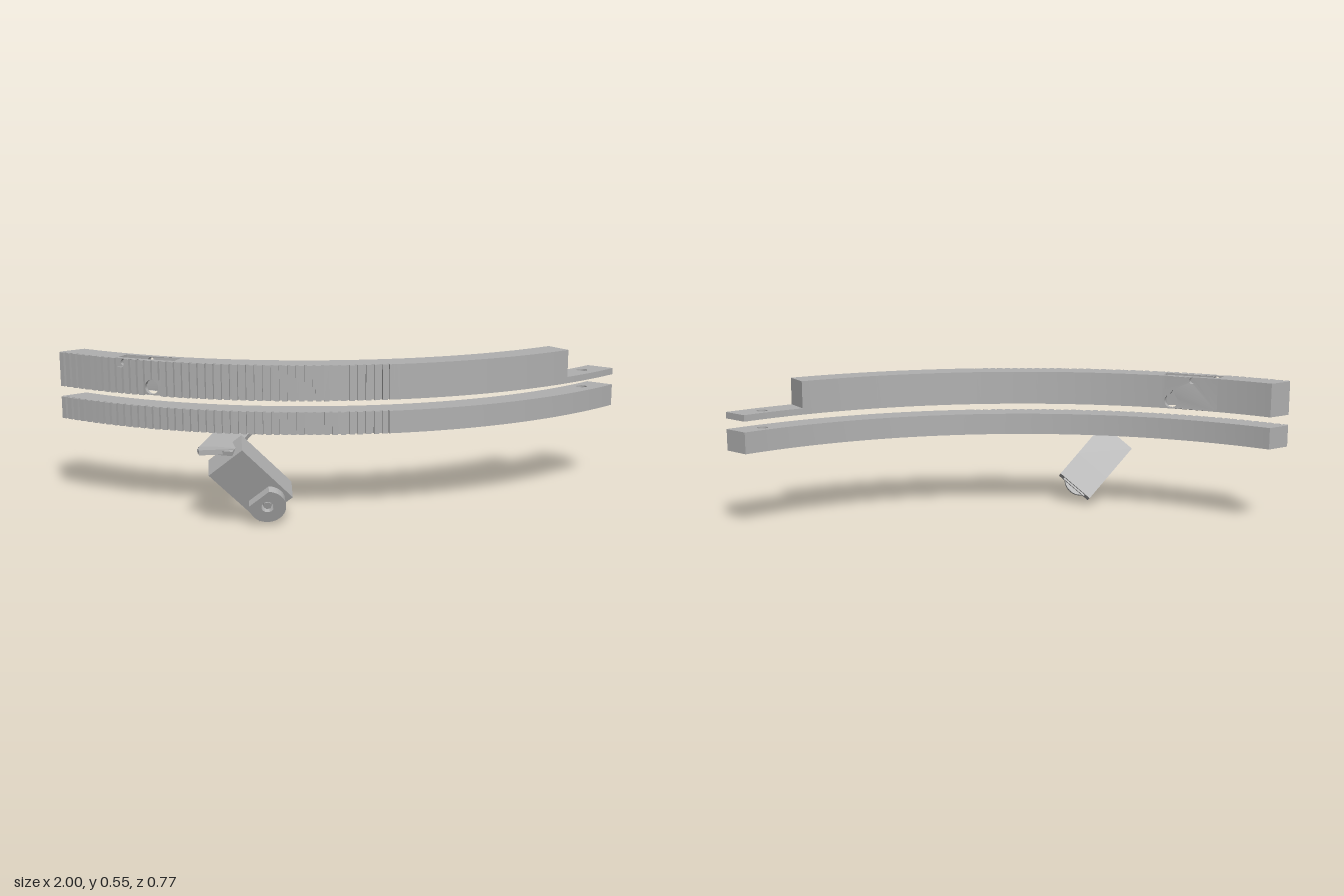
import * as THREE from 'three';
import { mergeGeometries, toCreasedNormals } from 'three/addons/utils/BufferGeometryUtils.js';

const CX = 0.373, CZ = -1.262;               // centre of the arc in plan
const R_IN = 1.544, R_OUT = 1.647, R_ROOT = 1.635;
const TOOTH_START = 102.6, TOOTH_END = 146.5, TEETH = 43;
const rad = THREE.MathUtils.degToRad;
const onArc = (r, deg) => new THREE.Vector2(CX + r * Math.cos(rad(deg)), CZ + r * Math.sin(rad(deg)));

export function createModel() {
  const grey = new THREE.MeshStandardMaterial({ color: 0xb0b0b0 });
  grey.name = 'plain grey';
  const model = new THREE.Group();

  const add = (name, geo, parent = model) => {
    const mesh = new THREE.Mesh(geo, grey);
    mesh.name = name;
    parent.add(mesh);
    return mesh;
  };

  // Curved bar between two radii; each end may be cut off-radial
  function arcBar(name, y0, y1, start, end, ro = R_OUT, ri = R_IN, bolt = false) {
    const [so, si] = [].concat(start, start), [eo, ei] = [].concat(end, end);
    const n = Math.max(4, Math.ceil((eo - so) * 1.5));
    const pts = [];
    for (let i = 0; i <= n; i++) pts.push(onArc(ro, so + (eo - so) * i / n));
    for (let i = n; i >= 0; i--) pts.push(onArc(ri, si + (ei - si) * i / n));
    const shape = new THREE.Shape(pts);
    if (bolt) shape.holes.push(new THREE.Path().absarc(0.871, 0.246, 0.02, 0, Math.PI * 2, true));
    const geo = new THREE.ExtrudeGeometry(shape, { depth: y1 - y0, bevelEnabled: false, curveSegments: 12 });
    geo.rotateX(Math.PI / 2).translate(0, y1, 0);
    return add(name, toCreasedNormals(geo, 0.4));
  }

  // Thin curved wall pierced by a keyhole and a small round hole
  function piercedWall(name, ri, ro, a0, a1, keyAngle, pinAngle) {
    const y0 = 0.423, y1 = 0.549, n = 10;
    const s = (deg) => -rad(deg) * ri;
    const pts = [];
    for (let i = 0; i <= n; i++) pts.push(new THREE.Vector2(s(a1 + (a0 - a1) * i / n), y0));
    for (let i = n; i >= 0; i--) pts.push(new THREE.Vector2(s(a1 + (a0 - a1) * i / n), y1));
    const shape = new THREE.Shape(pts);
    const k = s(keyAngle), half = 0.007;
    const key = new THREE.Path();
    key.moveTo(k + half, 0.497);
    key.absarc(k, 0.452, 0.026, Math.PI / 2 - 0.28, Math.PI / 2 + 0.28, true);
    key.lineTo(k - half, 0.497);
    key.closePath();
    shape.holes.push(key, new THREE.Path().absarc(s(pinAngle), 0.534, 0.012, 0, Math.PI * 2, true));
    const geo = new THREE.ExtrudeGeometry(shape, { depth: ro - ri, bevelEnabled: false, curveSegments: 16 });
    const p = geo.attributes.position;
    for (let i = 0; i < p.count; i++) {
      const q = onArc(ri + p.getZ(i), THREE.MathUtils.radToDeg(-p.getX(i) / ri));
      p.setXYZ(i, q.x, p.getY(i), q.y);
    }
    add(name, toCreasedNormals(geo, 0.4));
  }

  // Row of vertical teeth on the outer face
  function toothRow(name, y0, y1, holes = []) {
    const parts = [];
    for (let i = 0; i < TEETH; i++) {
      const deg = TOOTH_START + (i + 0.5) * (TOOTH_END - TOOTH_START) / TEETH;
      let lo = y0, hi = y1;
      for (const h of holes) {
        if (Math.abs(deg - h.deg) < h.reach) { lo = Math.max(lo, h.lo ?? lo); hi = Math.min(hi, h.hi ?? hi); }
      }
      const q = onArc((R_OUT + R_ROOT) / 2 - 0.002, deg);
      const box = new THREE.BoxGeometry(R_OUT - R_ROOT + 0.004, hi - lo, 0.019);
      parts.push(box.rotateY(-rad(deg)).translate(q.x, (lo + hi) / 2, q.y));
    }
    add(name, mergeGeometries(parts));
  }

  const rightEnd = [67.6, 68.17], leftEnd = [146.5, 145.4];

  // Lower rail
  arcBar('lowerRail', 0.302, 0.383, rightEnd, TOOTH_START, R_OUT, R_IN, true);
  arcBar('lowerToothedRail', 0.302, 0.383, TOOTH_START, leftEnd, R_ROOT);
  toothRow('lowerTeeth', 0.302, 0.383);

  // Upper rail with a stepped lip and a pocket
  const P0 = 129.5, P1 = 137.5;
  arcBar('upperLip', 0.423, 0.447, rightEnd, 77, R_OUT, R_IN, true);
  arcBar('upperRail', 0.423, 0.549, 77, TOOTH_START);
  arcBar('upperToothedRail', 0.423, 0.549, TOOTH_START, P0, R_ROOT);
  arcBar('upperRailEnd', 0.423, 0.549, P1, leftEnd, R_ROOT);
  piercedWall('pocketInnerWall', R_IN, 1.566, P0, P1, 130.8, 133.8);
  piercedWall('pocketOuterWall', 1.62, R_ROOT, P0, P1, 132.5, 136.4);
  toothRow('upperTeeth', 0.423, 0.549, [
    { deg: 132.5, reach: 0.9, lo: 0.48 },
    { deg: 136.4, reach: 0.55, hi: 0.518 },
  ]);

  // Tilted hollow arm below the rail; local y runs up the arm, z out of its front
  const arm = new THREE.Group();
  arm.name = 'arm';
  const yAxis = new THREE.Vector3(-0.7, 0.715, 0.03).normalize();
  const zAxis = new THREE.Vector3(-0.29, -0.32, 0.9).normalize();
  const xAxis = new THREE.Vector3().crossVectors(yAxis, zAxis).normalize();
  zAxis.crossVectors(xAxis, yAxis);
  arm.quaternion.setFromRotationMatrix(new THREE.Matrix4().makeBasis(xAxis, yAxis, zAxis));
  arm.position.set(-0.369, 0.063, 0.2205);
  model.add(arm);

  const rect = (C, w, h) => new C([[-w, -h], [w, -h], [w, h], [-w, h]].map((p) => new THREE.Vector2(...p)));
  const sleeve = rect(THREE.Shape, 0.0765, 0.0485);
  sleeve.holes.push(rect(THREE.Path, 0.054, 0.028));
  const sleeveGeo = new THREE.ExtrudeGeometry(sleeve, { depth: 0.11, bevelEnabled: false });
  add('armSocket', sleeveGeo.rotateX(-Math.PI / 2), arm);
  add('armBody', new THREE.BoxGeometry(0.153, 0.155, 0.097).translate(0, 0.1875, 0), arm);

  // Teardrop boss with a recessed screw
  const boss = new THREE.Shape();
  boss.moveTo(0, 0.095);
  boss.absarc(0, 0, 0.064, Math.PI * 0.75, Math.PI * 2.25, false);
  boss.closePath();
  boss.holes.push(new THREE.Path().absarc(0, 0, 0.022, 0, Math.PI * 2, true));
  const bossGeo = new THREE.ExtrudeGeometry(boss, { depth: 0.034, bevelEnabled: false, curveSegments: 32 });
  add('boss', toCreasedNormals(bossGeo.translate(0, 0.047, 0.0485), 0.5), arm);
  add('screw', new THREE.CylinderGeometry(0.015, 0.015, 0.08, 6).rotateX(Math.PI / 2).translate(0, 0.047, 0.035), arm);

  // Sloping plate that joins the arm to the underside of the rail
  const plate = add('mountingPlate', new THREE.BoxGeometry(0.13, 0.016, 0.2));
  plate.position.set(-0.53, 0.285, 0.16);
  plate.lookAt(-0.61, 0.263, 0.255);
  const wing = add('plateWing', new THREE.BoxGeometry(0.12, 0.018, 0.05));
  wing.position.set(-0.585, 0.272, 0.225);
  wing.rotation.y = -0.25;

  return model;
}
